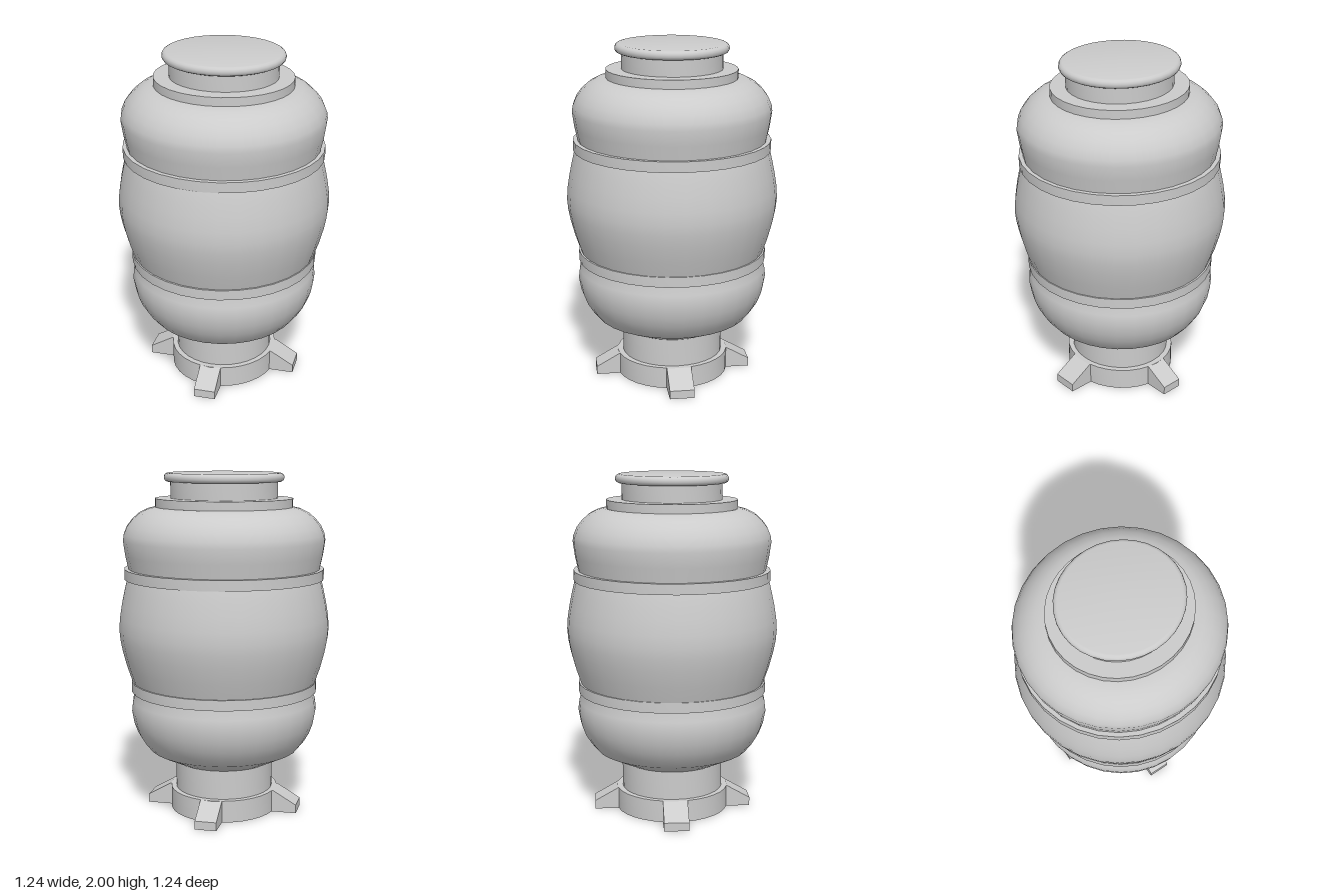
import * as THREE from 'three';
import { toCreasedNormals } from 'three/addons/utils/BufferGeometryUtils.js';

const SIDES = 32;

export function createModel() {
  const model = new THREE.Group();
  model.name = 'barrelCanister';
  const material = new THREE.MeshStandardMaterial({ color: 0xcccccc });

  // Adds a turned part from a bottom-to-top [radius, y] profile, slightly oval in depth
  function turned(name, profile, depth = 1, crease = 0.6) {
    const points = profile.map(([r, y]) => new THREE.Vector2(r, y));
    const geometry = new THREE.LatheGeometry(points, SIDES);
    geometry.scale(1, 1, depth);
    const mesh = new THREE.Mesh(toCreasedNormals(geometry, crease), material);
    mesh.name = name;
    model.add(mesh);
  }

  // Closed straight-walled disc
  function disc(name, radius, y0, y1, depth) {
    turned(name, [[0, y0], [radius, y0], [radius, y1], [0, y1]], depth);
  }

  // Flat hoop with a rectangular section
  function band(name, inner, outer, y0, y1, depth) {
    turned(name, [[inner, y0], [outer, y0], [outer, y1], [inner, y1]], depth);
  }

  // Base and stem
  disc('base', 0.317, 0, 0.13, 1.05);
  disc('stem', 0.288, 0.1, 0.32, 1.04);

  // Bulging body in three sections
  turned('lowerBody', [
    [0, 0.297], [0.287, 0.297], [0.445, 0.375], [0.485, 0.425], [0.515, 0.475],
    [0.537, 0.535], [0.55, 0.61], [0.543, 0.67], [0.522, 0.73], [0.522, 0.76],
  ], 1.02, 0.75);
  turned('middleBody', [
    [0.535, 0.755], [0.546, 0.79], [0.575, 0.875], [0.6, 0.97], [0.613, 1.04],
    [0.618, 1.1], [0.613, 1.17], [0.6, 1.25], [0.585, 1.32], [0.566, 1.4], [0.556, 1.43],
  ]);
  turned('upperBody', [
    [0.557, 1.42], [0.562, 1.455], [0.578, 1.53], [0.59, 1.615], [0.585, 1.65],
    [0.566, 1.695], [0.535, 1.735], [0.495, 1.77], [0.45, 1.793], [0.4, 1.805], [0, 1.805],
  ], 0.977);

  // Hoops over the joints
  band('lowerBand', 0.5, 0.55, 0.725, 0.785, 1.01);
  band('upperBand', 0.53, 0.584, 1.39, 1.45, 0.985);

  // Collar, neck and rounded cap
  disc('collar', 0.401, 1.8, 1.855, 0.947);
  disc('neck', 0.312, 1.85, 1.96, 0.935);
  turned('cap', [
    [0, 1.95], [0.332, 1.95], [0.343, 1.956], [0.349, 1.967], [0.349, 1.98],
    [0.344, 1.991], [0.333, 1.998], [0.325, 2], [0, 2],
  ], 0.937, 0.8);

  // Four wedge feet around the base
  const footShape = new THREE.Shape();
  footShape.moveTo(0.25, 0);
  footShape.lineTo(1, 0);
  footShape.lineTo(1, 0.05);
  footShape.lineTo(0.7, 0.13);
  footShape.lineTo(0.25, 0.13);
  footShape.closePath();
  for (let i = 0; i < 4; i++) {
    const along = i % 2 === 0; // feet on the x axis
    const width = along ? 0.145 : 0.127;
    const geometry = new THREE.ExtrudeGeometry(footShape, { depth: width, bevelEnabled: false });
    geometry.translate(0, 0, -width / 2);
    geometry.scale(along ? 0.455 : 0.468, 1, 1);
    const foot = new THREE.Mesh(geometry, material);
    foot.name = `foot${i + 1}`;
    foot.rotation.y = i * Math.PI / 2;
    model.add(foot);
  }

  return model;
}
